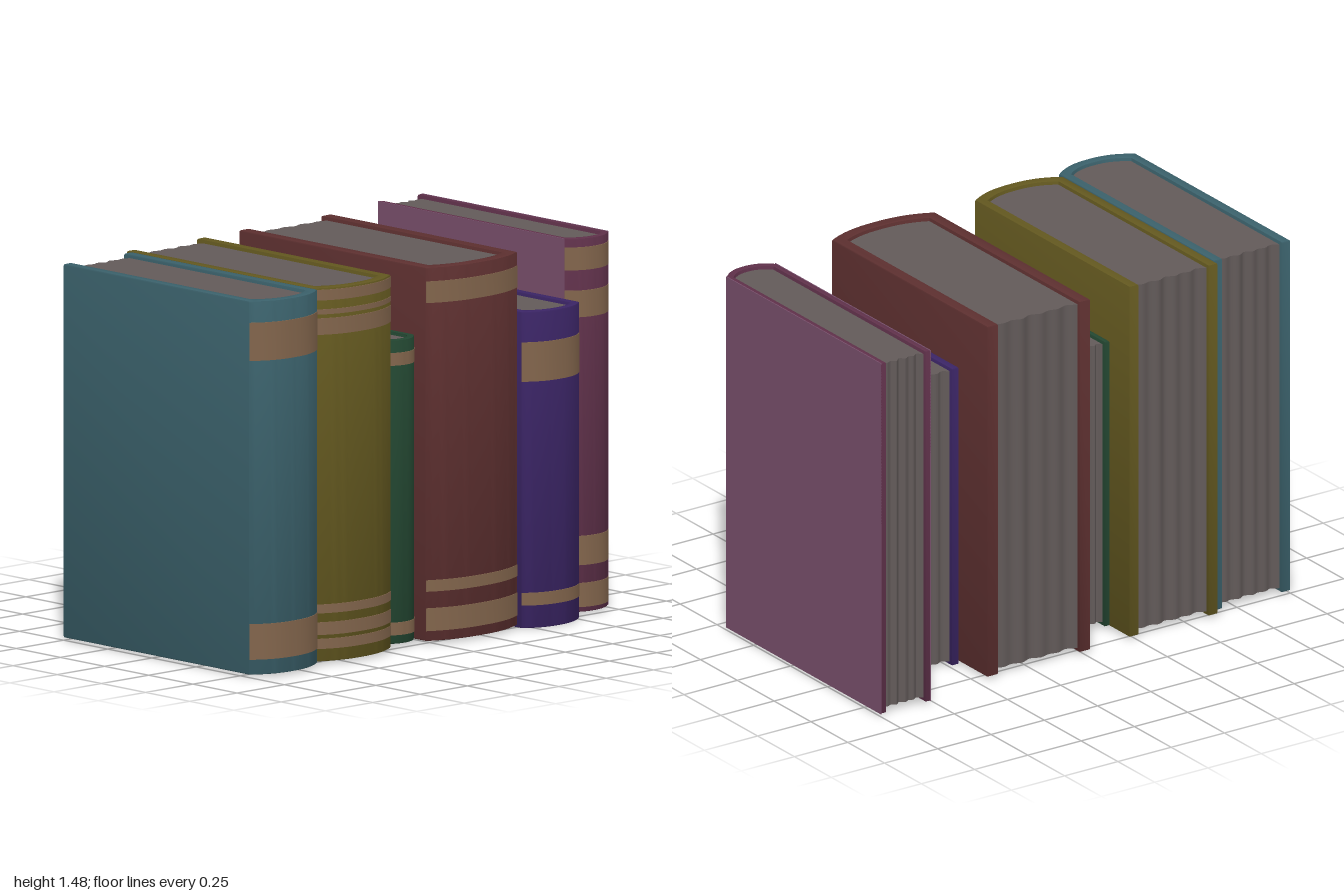
import * as THREE from 'three';
import { toCreasedNormals } from 'three/addons/utils/BufferGeometryUtils.js';

const material = (name, color) => new THREE.MeshStandardMaterial({ name, color });

// Extrudes an outline of [x, z] points upward from y0 to y1, with optional small bevel
function prism(points, y0, y1, bevel = 0) {
  const shape = new THREE.Shape(points.map(([x, z]) => new THREE.Vector2(x, -z)));
  const geometry = new THREE.ExtrudeGeometry(shape, {
    depth: y1 - y0 - 2 * bevel,
    bevelEnabled: bevel > 0,
    bevelSize: bevel,
    bevelThickness: bevel,
    bevelOffset: -bevel,
    bevelSegments: 2,
  });
  geometry.rotateX(-Math.PI / 2).translate(0, y0 + bevel, 0);
  return toCreasedNormals(geometry, 0.6);
}

// Rounded spine line from left to right: half width, hinge z, bulge
function spineArc(half, hinge, bulge, steps = 20, reach = 1) {
  return Array.from({ length: steps + 1 }, (_, i) => {
    const u = (2 * i / steps - 1) * reach;
    return [u * half, hinge + bulge * (1 - Math.abs(u) ** 2.4)];
  });
}

function mesh(name, geometry, mat) {
  const m = new THREE.Mesh(geometry, mat);
  m.name = name;
  return m;
}

export function createModel() {
  const gold = material('gold band', 0x82654c);
  const paper = material('paper', 0x625a59);
  const teal = material('teal', 0x3a606a);
  const olive = material('olive', 0x62571f);
  const green = material('green', 0x224530);
  const red = material('dark red', 0x5c2f2f);
  const indigo = material('indigo', 0x3a2464);
  const plum = material('plum', 0x5e3049);
  const mauve = material('mauve', 0x7a506d);

  // x and y extents, z of back edge, hinge and spine, board thickness, gold bands
  const books = [
    { name: 'tealBook', mat: teal, x: [-1, -0.64], y: [0.01, 1.48], z: [-0.5, 0.55, 0.61], t: 0.04,
      bands: [[0.07, 0.21], [1.245, 1.395]] },
    { name: 'oliveBook', mat: olive, x: [-0.638, -0.225], y: [0.01, 1.48], z: [-0.53, 0.52, 0.578], t: 0.042,
      bands: [[0.06, 0.1], [0.115, 0.165], [0.2, 0.235], [1.295, 1.36], [1.375, 1.395], [1.43, 1.472]] },
    { name: 'greenBook', mat: green, x: [-0.22, -0.032], y: [0.015, 1.21], z: [-0.4, 0.445, 0.498], t: 0.022,
      bands: [[0.05, 0.1], [1.11, 1.16]] },
    { name: 'redBook', mat: red, x: [-0.03, 0.453], y: [0.01, 1.48], z: [-0.545, 0.51, 0.565], t: 0.05,
      bands: [[0.05, 0.14], [0.205, 0.25], [1.34, 1.425]] },
    { name: 'indigoBook', mat: indigo, x: [0.456, 0.762], y: [0, 1.246], z: [-0.355, 0.53, 0.582], t: 0.032,
      bands: [[0.09, 0.14], [0.97, 1.125]] },
    { name: 'plumBook', mat: plum, x: [0.765, 1], y: [0.01, 1.48], z: [-0.613, 0.44, 0.49], t: 0.023,
      bands: [[0.03, 0.125], [0.195, 0.31], [1.17, 1.275], [1.355, 1.445]], sides: mauve },
  ];

  const model = new THREE.Group();
  model.name = 'bookRow';

  for (const { name, mat, x, y, z, t, bands, sides } of books) {
    const book = new THREE.Group();
    book.name = name;
    book.position.x = (x[0] + x[1]) / 2;
    const plate = sides ? 0.002 : 0;
    const half = (x[1] - x[0]) / 2 - plate;
    const inner = half - t;
    const [back, hinge, front] = z;
    const bulge = front - hinge;
    const spineT = Math.max(t, 0.03);
    const innerArc = spineArc(inner, hinge - spineT * 0.7, bulge - spineT * 0.3);

    // Two boards and curved spine as one U-shaped wrap
    const wrap = [
      [-half, back], ...spineArc(half, hinge, bulge), [half, back],
      [inner, back], ...innerArc.slice().reverse(), [-inner, back],
    ];
    book.add(mesh('cover', prism(wrap, y[0], y[1], 0.007), mat));

    // Page block with a gently rippled fore-edge
    const ripple = Array.from({ length: 33 }, (_, i) => {
      const u = i / 32;
      const wave = 0.006 * Math.cos(u * Math.PI * 9) + 0.003 * Math.sin(u * 17);
      return [inner * (1 - 2 * u), back + 0.024 + wave];
    });
    book.add(mesh('pages', prism([...innerArc, ...ripple], y[0] + 0.015, y[1] - 0.015), paper));

    // Gilded bands laid over the spine
    const outside = spineArc(half, hinge, bulge + 0.002, 20, 0.995).map(([a, b]) => [a, b + 0.002]);
    const strip = [...outside, ...outside.map(([a, b]) => [a, b - 0.007]).reverse()];
    bands.forEach(([low, high]) => book.add(mesh('spineBand', prism(strip, low, high), gold)));

    // Paler facing on the outside of the boards
    if (sides) {
      for (const s of [-1, 1]) {
        const facing = new THREE.BoxGeometry(0.004, y[1] - y[0], hinge - back);
        facing.translate(s * half, (y[0] + y[1]) / 2, (hinge + back) / 2);
        book.add(mesh('boardFacing', facing, sides));
      }
    }
    model.add(book);
  }
  return model;
}
